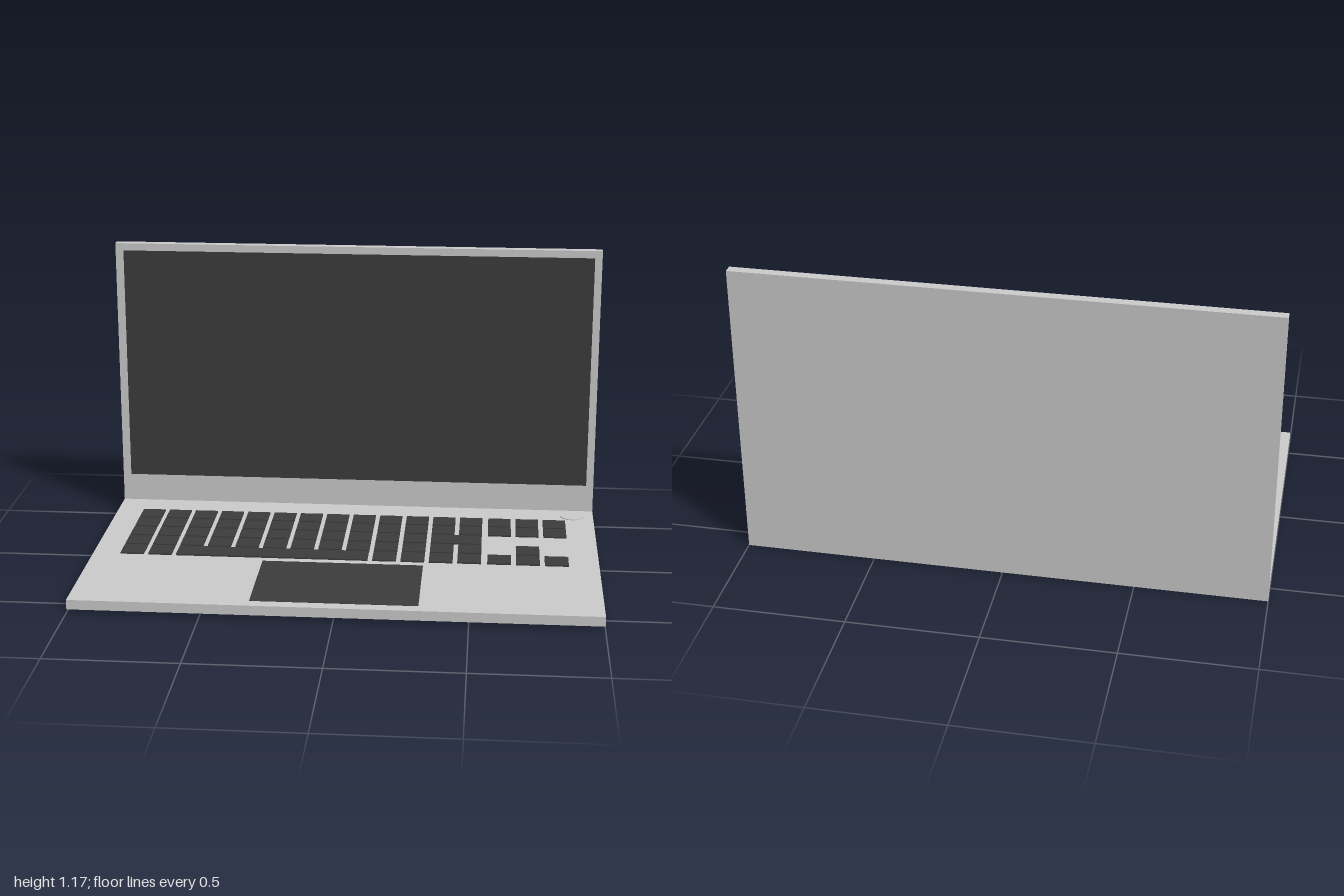
import * as THREE from 'three';

const grey = new THREE.MeshStandardMaterial({ color: 0xcccccc });
const dark = new THREE.MeshStandardMaterial({ color: 0x3c3c3c });

// Box given by its extents on each axis
function block(name, [x0, x1], [y0, y1], [z0, z1], material) {
  const mesh = new THREE.Mesh(new THREE.BoxGeometry(x1 - x0, y1 - y0, z1 - z0), material);
  mesh.position.set((x0 + x1) / 2, (y0 + y1) / 2, (z0 + z1) / 2);
  mesh.name = name;
  return mesh;
}

const DECK = 0.051;
const KEY = 0.093;

function createKeyboard() {
  const keyboard = new THREE.Group();
  keyboard.name = 'keyboard';
  const columnX = (c) => -0.89 + c * 0.1113;
  const rowZ = (r) => -0.411 + r * 0.104;
  const addKey = (name, x, r, width = KEY) => keyboard.add(
    block(name, [x, x + width], [DECK - 0.004, DECK + 0.006], [rowZ(r), rowZ(r) + KEY], dark));

  // Main block: 13 columns, with a wide enter key and a space bar
  for (let r = 0; r < 5; r++) {
    for (let c = 0; c < 13; c++) {
      if (r === 2 && c > 10) continue;
      if (r === 4 && c > 1 && c < 9) continue;
      addKey('key', columnX(c), r);
    }
  }
  addKey('enterKey', columnX(11), 2, 0.204);
  addKey('spaceBar', columnX(2), 4, 0.76);

  // Navigation keys and the arrow cluster on the side
  const sideX = (c) => 0.563 + c * 0.1125;
  for (let c = 0; c < 3; c++) {
    addKey('navigationKey', sideX(c), 0);
    addKey('navigationKey', sideX(c), 1);
    addKey('arrowKey', sideX(c), 4);
  }
  addKey('arrowKey', sideX(1), 3);
  return keyboard;
}

export function createModel() {
  const laptop = new THREE.Group();
  laptop.name = 'laptop';

  // Lower body
  laptop.add(block('base', [-1, 1], [0.013, DECK], [-0.548, 0.585], grey));
  laptop.add(block('trackpad', [-0.318, 0.313], [DECK - 0.004, DECK + 0.001], [0.131, 0.539], dark));
  laptop.add(createKeyboard());

  // Round power button
  const button = new THREE.Mesh(new THREE.CylinderGeometry(0.05, 0.05, 0.008, 32), grey);
  button.name = 'powerButton';
  button.position.set(0.912, DECK - 0.001, -0.482);
  laptop.add(button);

  // Upright lid with its display panel
  laptop.add(block('lid', [-1, 1], [0, 1.17], [-0.585, -0.548], grey));
  laptop.add(block('screen', [-0.967, 0.97], [0.165, 1.14], [-0.552, -0.547], dark));
  return laptop;
}
